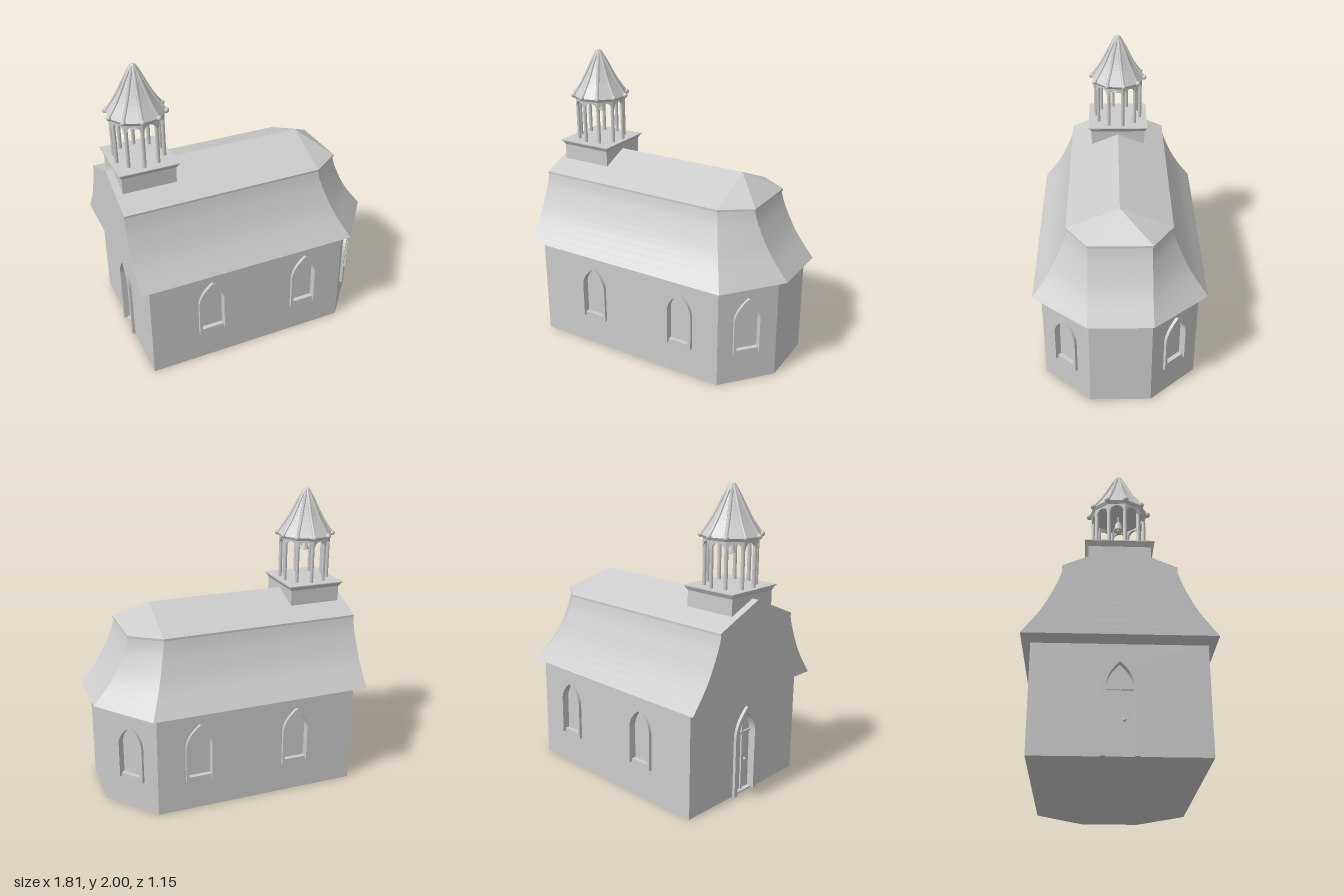
import * as THREE from 'three';

const material = new THREE.MeshStandardMaterial({ color: 0xcccccc, side: THREE.DoubleSide });
const flat = new THREE.MeshStandardMaterial({ color: 0xcccccc, side: THREE.DoubleSide, flatShading: true });

function add(parent, name, geometry, x = 0, y = 0, z = 0, mat = material) {
  const mesh = new THREE.Mesh(geometry, mat);
  mesh.name = name;
  mesh.position.set(x, y, z);
  parent.add(mesh);
  return mesh;
}

function group(parent, name) {
  const g = new THREE.Group();
  g.name = name;
  parent.add(g);
  return g;
}

const extrude = (shape, depth) =>
  new THREE.ExtrudeGeometry(shape, { depth, bevelEnabled: false, curveSegments: 8 });

// Pointed arch outline, from bottom left over the apex to bottom right
function archPoints(cx, w, y0, spring, apex) {
  const p = new THREE.Path();
  const bend = spring + (apex - spring) * 0.55;
  p.moveTo(cx - w, y0);
  p.lineTo(cx - w, spring);
  p.quadraticCurveTo(cx - w * 0.92, bend, cx, apex);
  p.quadraticCurveTo(cx + w * 0.92, bend, cx + w, spring);
  p.lineTo(cx + w, y0);
  return p.getPoints(8);
}

// Joins rings of corners (bottom to top) into one smooth strip per side
function addRings(parent, name, rings) {
  const n = rings[0].length;
  for (let i = 0; i < n; i++) {
    const pos = [], index = [];
    rings.forEach((ring, r) => {
      pos.push(...ring[i], ...ring[(i + 1) % n]);
      if (r) {
        const a = 2 * r - 2;
        index.push(a, a + 1, a + 3, a, a + 3, a + 2);
      }
    });
    const g = new THREE.BufferGeometry();
    g.setAttribute('position', new THREE.Float32BufferAttribute(pos, 3));
    g.setIndex(index);
    g.computeVertexNormals();
    add(parent, name, g);
  }
}

// Six-cornered plan: straight west end, canted east end
const plan = (y, west, xc, zc, xe, ze) => [
  [west, y, zc], [xc, y, zc], [xe, y, ze], [xe, y, -ze], [xc, y, -zc], [west, y, -zc],
];

const WINDOW = { w: 0.1, y0: 0.215, spring: 0.47, apex: 0.62, rim: 0.02 };
const DOOR = { w: 0.11, y0: 0, spring: 0.42, apex: 0.6, rim: 0.03 };

function addOpening(wall, cx, o, isDoor) {
  const g = group(wall, isDoor ? 'doorway' : 'window');
  const outer = archPoints(cx, o.w, o.y0, o.spring, o.apex);
  const inner = archPoints(cx, o.w - o.rim, o.y0, o.spring, o.apex - o.rim * 1.3);
  add(g, 'archFrame', extrude(new THREE.Shape([...outer, ...inner.reverse()]), 0.05), 0, 0, -0.03);
  add(g, isDoor ? 'doorLeaf' : 'pane', new THREE.ShapeGeometry(new THREE.Shape(outer)), 0, 0, -0.03);
  if (isDoor) {
    add(g, 'doorBatten', new THREE.BoxGeometry(0.012, 0.54, 0.012), cx, 0.27, -0.024);
    add(g, 'doorTransom', new THREE.BoxGeometry(0.16, 0.015, 0.012), cx, 0.41, -0.024);
    add(g, 'doorHandle', new THREE.SphereGeometry(0.01, 10, 8), cx + 0.025, 0.22, -0.016);
  } else {
    add(g, 'windowSill', new THREE.BoxGeometry(2 * (o.w - o.rim), 0.022, 0.03), cx, o.y0 + 0.011, -0.015);
  }
}

// Wall panel from corner a to corner b with arched openings
function addWall(parent, a, b, openings, isDoor) {
  const dx = b[0] - a[0], dz = b[2] - a[2], half = Math.hypot(dx, dz) / 2;
  const wall = group(parent, 'wall');
  wall.position.set((a[0] + b[0]) / 2, 0, (a[2] + b[2]) / 2);
  wall.rotation.y = Math.atan2(-dz, dx);
  const shape = new THREE.Shape();
  shape.moveTo(-half, 0).lineTo(half, 0).lineTo(half, 0.68).lineTo(-half, 0.68).closePath();
  const o = isDoor ? DOOR : WINDOW;
  for (const cx of openings) {
    const hole = archPoints(cx, o.w - o.rim, Math.max(o.y0, 0.01), o.spring, o.apex - o.rim * 1.3);
    shape.holes.push(new THREE.Path(hole));
    addOpening(wall, cx, o, isDoor);
  }
  add(wall, 'wallPanel', extrude(shape, 0.05), 0, 0, -0.05);
}

function addNave(parent) {
  const nave = group(parent, 'nave');
  const c = plan(0, -0.84, 0.57, 0.52, 0.84, 0.205);
  const openings = [[-0.275, 0.415], [0], [], [0], [-0.415, 0.275], [0]];
  openings.forEach((list, i) => addWall(nave, c[i], c[(i + 1) % 6], list, i === 5));
  const floor = new THREE.ShapeGeometry(new THREE.Shape(c.map(p => new THREE.Vector2(p[0], p[2]))));
  add(nave, 'floor', floor.rotateX(Math.PI / 2));
}

function addRoof(parent) {
  const roof = group(parent, 'roof');
  const eave = plan(0.71, -0.91, 0.605, 0.577, 0.9, 0.21);
  addRings(roof, 'soffit', [plan(0.68, -0.84, 0.57, 0.52, 0.84, 0.205), eave]);
  // Bell-cast lower slope
  const curve = new THREE.SplineCurve(
    [[0.577, 0.71], [0.456, 0.875], [0.371, 1.05], [0.34, 1.15]].map(p => new THREE.Vector2(...p)));
  const rings = curve.getPoints(14).map(({ x: z, y }) => {
    const f = (z - 0.34) / 0.237;
    return plan(y, -0.91, 0.455 + 0.15 * f, z, 0.65 + 0.25 * f, 0.203 + 0.007 * f);
  });
  addRings(roof, 'lowerRoof', rings);
  // Thin moulding and shallow upper slope
  const low = plan(1.15, -0.91, 0.457, 0.346, 0.657, 0.208);
  const high = plan(1.165, -0.91, 0.457, 0.346, 0.657, 0.208);
  addRings(roof, 'mouldingUnderside', [rings[rings.length - 1], low]);
  addRings(roof, 'moulding', [low, high]);
  addRings(roof, 'upperRoof', [high, plan(1.31, -0.91, 0.455, 0, 0.455, 0)]);
}

function addBelfry(parent) {
  const belfry = group(parent, 'belfry');
  belfry.position.x = -0.683;
  add(belfry, 'base', new THREE.BoxGeometry(0.36, 0.11, 0.385), 0, 1.285, 0);
  // Flared platform
  const square = (y, x, z) => [[-x, y, z], [x, y, z], [x, y, -z], [-x, y, -z]];
  addRings(belfry, 'platform', [
    square(1.335, 0.18, 0.192), square(1.37, 0.2, 0.213)]);
  add(belfry, 'platformTop', new THREE.BoxGeometry(0.4, 0.006, 0.426), 0, 1.367, 0);

  // Ten-sided concave spire
  const sides = 10, start = -Math.PI / 30;
  const profile = new THREE.SplineCurve(
    [[0.19, 1.685], [0.118, 1.79], [0.05, 1.92], [0.012, 1.985]].map(p => new THREE.Vector2(...p))).getPoints(10);
  add(belfry, 'spire', new THREE.LatheGeometry(profile, sides, start), 0, 0, 0, flat);
  add(belfry, 'spireEaves', new THREE.LatheGeometry(
    [[0, 1.68], [0.16, 1.665], [0.178, 1.665], [0.19, 1.685]].map(p => new THREE.Vector2(...p)), sides, start), 0, 0, 0, flat);
  add(belfry, 'finial', new THREE.SphereGeometry(0.021, 14, 10), 0, 1.979, 0);

  // Ribs, posts and arched frieze repeat around the ring
  const rib = new THREE.TubeGeometry(
    new THREE.CatmullRomCurve3(profile.map(p => new THREE.Vector3(0, p.y, p.x))), 14, 0.011, 6);
  const R = 0.176, half = R * Math.sin(Math.PI / sides), apothem = R * Math.cos(Math.PI / sides);
  const frieze = new THREE.Shape();
  frieze.moveTo(-half, 1.615).lineTo(-half + 0.012, 1.615);
  frieze.quadraticCurveTo(-half + 0.016, 1.65, 0, 1.655);
  frieze.quadraticCurveTo(half - 0.016, 1.65, half - 0.012, 1.615);
  frieze.lineTo(half, 1.615).lineTo(half, 1.68).lineTo(-half, 1.68).closePath();
  const friezeGeometry = extrude(frieze, 0.016);
  const post = new THREE.CylinderGeometry(0.0125, 0.0125, 0.29, 10);
  for (let k = 0; k < sides; k++) {
    const bay = group(belfry, 'belfryBay');
    bay.rotation.y = start + (k * 2 * Math.PI) / sides;
    add(bay, 'rib', rib);
    add(bay, 'ribEnd', new THREE.SphereGeometry(0.018, 10, 8), 0, 1.688, 0.19);
    add(bay, 'post', post, 0, 1.513, 0.163);
    const panel = group(bay, 'friezeBay');
    panel.rotation.y = Math.PI / sides;
    add(panel, 'frieze', friezeGeometry, 0, 0, apothem - 0.016);
  }

  // Hanging bell
  const bell = [[0, 1.635], [0.014, 1.632], [0.022, 1.615], [0.025, 1.59], [0.036, 1.572], [0.03, 1.572], [0, 1.6]];
  add(belfry, 'bell', new THREE.LatheGeometry(bell.map(p => new THREE.Vector2(...p)), 18));
  add(belfry, 'bellHanger', new THREE.CylinderGeometry(0.006, 0.006, 0.05, 8), 0, 1.655, 0);
  add(belfry, 'bellClapper', new THREE.SphereGeometry(0.01, 10, 8), 0, 1.572, 0);
}

export function createModel() {
  const model = new THREE.Group();
  model.name = 'chapel';
  addNave(model);
  addRoof(model);
  addBelfry(model);
  return model;
}
